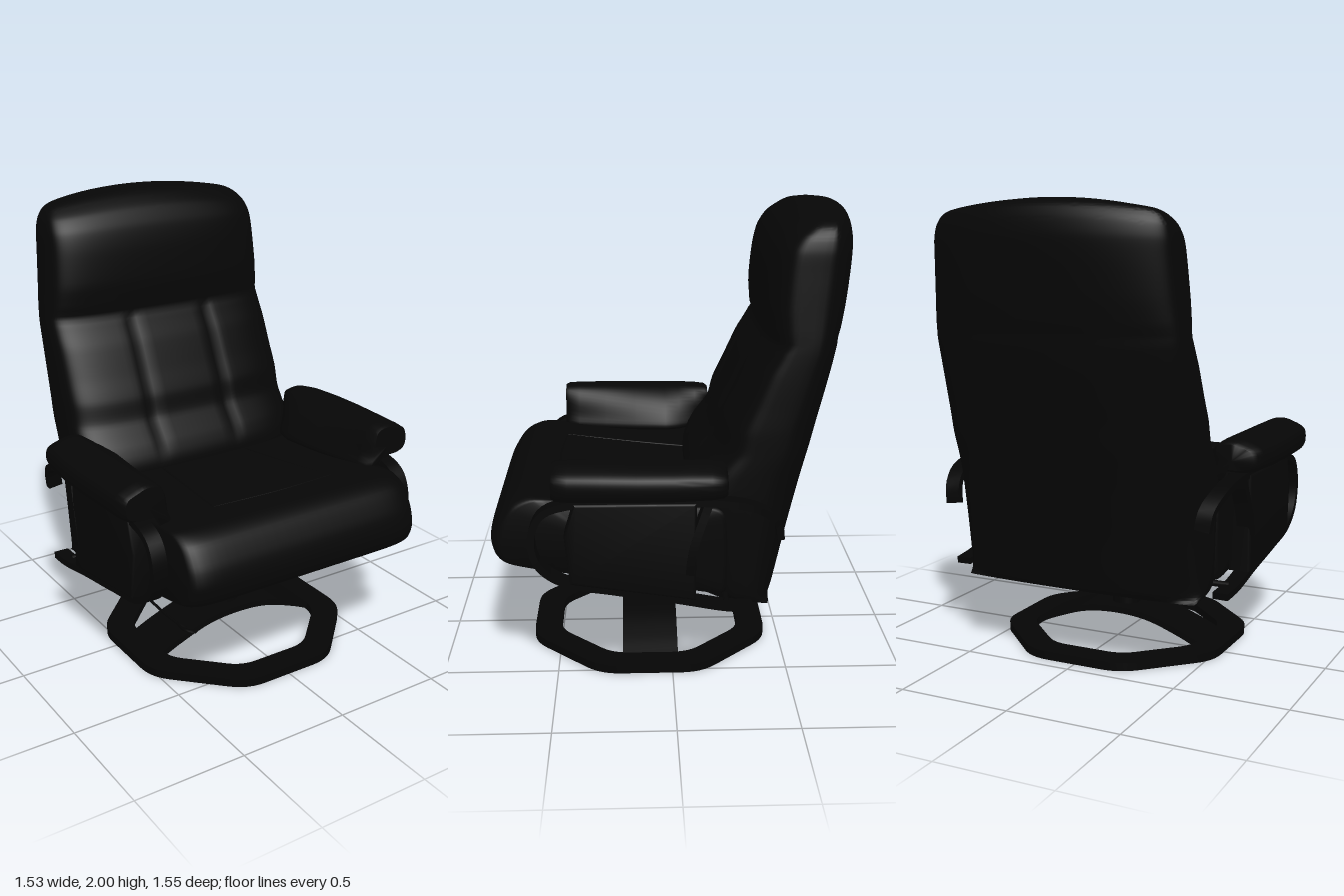
import * as THREE from 'three';
import { toCreasedNormals } from 'three/addons/utils/BufferGeometryUtils.js';

const leather = new THREE.MeshStandardMaterial({ color: 0x060606 });
leather.name = 'black leather';
const lacquer = new THREE.MeshStandardMaterial({ color: 0x050505 });
lacquer.name = 'black lacquer';

const V = (x, y, z) => new THREE.Vector3(x, y, z);

function part(name, geometry, material) {
  const mesh = new THREE.Mesh(geometry, material);
  mesh.name = name;
  return mesh;
}

// Skin closed rings (counter-clockwise seen from the far end) and cap both ends
function loft(rings, crease = 0.7) {
  const n = rings[0].length, pos = [], index = [];
  const centre = (r) => r.reduce((s, p) => s.add(p), V(0, 0, 0)).divideScalar(n);
  rings.flat().forEach((p) => pos.push(p.x, p.y, p.z));
  const last = (rings.length - 1) * n, c0 = rings.length * n, c1 = c0 + 1;
  pos.push(...centre(rings[0]).toArray(), ...centre(rings[rings.length - 1]).toArray());
  for (let j = 0; j < n; j++) {
    const k = (j + 1) % n;
    for (let i = 0; i < last; i += n) index.push(i + j, i + k, i + n + k, i + j, i + n + k, i + n + j);
    index.push(c0, k, j, c1, last + j, last + k);
  }
  const g = new THREE.BufferGeometry();
  g.setAttribute('position', new THREE.Float32BufferAttribute(pos, 3));
  g.setIndex(index);
  return toCreasedNormals(g, crease);
}

// Flat bent strip of given width direction, following a curve
function strap(points, widthDir, width, thick, steps = 40) {
  const curve = new THREE.CatmullRomCurve3(points);
  const rings = [];
  for (let i = 0; i <= steps; i++) {
    const p = curve.getPointAt(i / steps), t = curve.getTangentAt(i / steps);
    const w = widthDir.clone().addScaledVector(t, -widthDir.dot(t)).normalize();
    const n = t.clone().cross(w);
    rings.push([[1, 1], [-1, 1], [-1, -1], [1, -1]].map(([a, b]) =>
      p.clone().addScaledVector(w, a * width / 2).addScaledVector(n, b * thick / 2)));
  }
  return loft(rings);
}

// Tall padded back with headrest fold and stitched panels
function backGeometry() {
  // height, front z, back z, half width
  const levels = [
    [0.335, -0.37, -0.43, 0.55], [0.355, -0.22, -0.47, 0.565], [0.4, -0.14, -0.485, 0.572],
    [0.6, -0.1, -0.53, 0.575], [0.8, -0.07, -0.578, 0.578], [0.9, -0.105, -0.603, 0.578],
    [1.0, -0.18, -0.628, 0.578], [1.1, -0.208, -0.652, 0.577], [1.2, -0.255, -0.677, 0.574],
    [1.33, -0.315, -0.708, 0.571], [1.45, -0.38, -0.732, 0.567], [1.6, -0.375, -0.758, 0.556],
    [1.75, -0.388, -0.774, 0.546], [1.85, -0.41, -0.778, 0.54], [1.92, -0.45, -0.768, 0.526],
    [1.965, -0.505, -0.748, 0.5], [1.99, -0.555, -0.71, 0.46], [2.0, -0.625, -0.625, 0.41]];
  const shape = new THREE.CatmullRomCurve3(levels.map(([y, f, b]) => V(f, y, b)), false, 'catmullrom', 0.4);
  const width = new THREE.CatmullRomCurve3(levels.map(([y, , , w]) => V(w, y, 0)), false, 'catmullrom', 0.4);
  const rings = [], N = 60, M = 102;
  const bump = (d, r) => Math.exp(-((d / r) ** 2));
  for (let i = 0; i <= M; i++) {
    const { x: front, y, z: back } = shape.getPoint(i / M);
    const w = width.getPoint(i / M).x;
    const crown = 0.04 * THREE.MathUtils.smoothstep(y, 1.75, 2);
    const panels = THREE.MathUtils.smoothstep(y, 0.8, 0.95) * (1 - THREE.MathUtils.smoothstep(y, 1.42, 1.47));
    const fold = bump(y - 1.46, 0.02), bow = Math.min(1, (front - back) / 0.25);
    const ring = [];
    for (let j = 0; j < 2 * N; j++) {
      const a = Math.PI * j / N, u = Math.cos(a), isFront = j > N, e = isFront ? 5 : 3.8;
      const v = Math.pow(Math.max(0, 1 - Math.abs(u) ** e), 1 / e) * (isFront ? 1 : -1);
      let inset = bow * (isFront ? 0.025 : 0.065) * u * u + fold * (isFront ? 0.012 : 0.004);
      if (isFront) inset += panels * 0.012 * bump(Math.abs(u * w) - 0.2, 0.025);
      ring.push(V(u * w, y - crown * u * u, (front + back) / 2 + v * ((front - back) / 2 - inset)));
    }
    rings.push(ring);
  }
  return loft(rings, 1);
}

// Seat cushion: side profile swept across, rounded at both ends
function seatGeometry() {
  const profile = new THREE.CatmullRomCurve3([
    [0.72, 0.54], [0.6, 0.512], [0.3, 0.465], [0, 0.418], [-0.2, 0.385], [-0.25, 0.42], [-0.25, 0.72],
    [-0.2, 0.79], [0, 0.8], [0.3, 0.822], [0.5, 0.838], [0.62, 0.842], [0.7, 0.805], [0.755, 0.72],
    [0.775, 0.64], [0.76, 0.575]].map(([z, y]) => V(0, y, z)), true, 'catmullrom', 0.4);
  const pts = profile.getPoints(80).slice(0, 80);
  const rings = [];
  for (let i = 0; i <= 32; i++) {
    const u = -Math.cos(Math.PI * i / 32);
    const s = 0.9 + 0.1 * Math.pow(1 - Math.abs(u) ** 10, 0.5);
    rings.push(pts.map((p) => V(0.583 * u, 0.62 + (p.y - 0.62) * s, 0.2 + (p.z - 0.2) * s)));
  }
  return loft(rings, 0.9);
}

// Draped armrest pad, widening inward toward the back
function padGeometry(s) {
  // z, inner x, outer x, roundness
  const stations = [
    [-0.215, 0.56, 0.73, 0.72], [-0.2, 0.53, 0.745, 0.85], [-0.15, 0.49, 0.755, 0.92],
    [-0.07, 0.44, 0.76, 0.95], [0, 0.425, 0.765, 0.96], [0.15, 0.445, 0.765, 0.98], [0.3, 0.475, 0.757, 1],
    [0.43, 0.5, 0.75, 1], [0.48, 0.515, 0.742, 0.98], [0.497, 0.535, 0.73, 0.88]];
  const rings = stations.map(([z, inner, outer, k]) => {
    const section = [[0.58, 0.852], [outer - 0.05, 0.862], [outer - 0.01, 0.885], [outer, 0.93],
      [outer - 0.01, 0.97], [outer - 0.06, 0.998], [0.63, 1.012], [0.57, 0.998],
      [(inner + 0.57) / 2, 0.95], [inner + 0.015, 0.87], [inner, 0.82], [inner + 0.04, 0.805]];
    const curve = new THREE.CatmullRomCurve3(section.map(([x, y]) =>
      V(s * x, 0.93 + (y - 0.93) * k, z)), true);
    const ring = curve.getPoints(48).slice(0, 48);
    return s > 0 ? ring : ring.reverse();
  });
  return loft(rings, 0.9);
}

// One side: pad, bent frame straps, upholstered panel and slats
function armSide(s) {
  const g = new THREE.Group();
  g.name = s > 0 ? 'leftArm' : 'rightArm';
  const path = (list) => list.map(([x, y, z]) => V(s * x, y, z));
  const across = V(1, 0, 0);
  g.add(part('armPad', padGeometry(s), leather));
  g.add(part('armFrame', strap(path([
    [0.6, 0.665, -0.445], [0.612, 0.74, -0.43], [0.634, 0.805, -0.345], [0.638, 0.835, -0.2], [0.638, 0.84, 0.1],
    [0.638, 0.835, 0.42], [0.638, 0.79, 0.545], [0.638, 0.68, 0.588], [0.638, 0.57, 0.56], [0.638, 0.495, 0.46],
    [0.64, 0.455, 0.25], [0.64, 0.415, 0], [0.64, 0.375, -0.22], [0.635, 0.365, -0.33]]),
  across, 0.068, 0.03, 90), lacquer));

  const panel = new THREE.Shape([[-0.42, 0.5], [0.08, 0.425], [0.08, 0.83], [-0.4, 0.83], [-0.44, 0.7]]
    .map(([x, y]) => new THREE.Vector2(x, y)));
  const panelGeo = new THREE.ExtrudeGeometry(panel, {
    depth: 0.084, bevelEnabled: true, bevelSize: 0.012, bevelThickness: 0.014, bevelSegments: 3 });
  panelGeo.rotateY(Math.PI / 2).translate(s * 0.624 - 0.042, 0, 0);
  g.add(part('sidePanel', toCreasedNormals(panelGeo, 0.7), leather));

  g.add(part('sideSlat', strap(path([[0.637, 0.41, -0.06], [0.65, 0.62, -0.075], [0.637, 0.83, -0.14]]),
    across, 0.068, 0.035, 16), lacquer));
  const pivot = new THREE.CylinderGeometry(0.014, 0.014, 0.09, 12).rotateZ(Math.PI / 2);
  g.add(part('pivotBolt', pivot.translate(s * 0.59, 0.385, -0.22), lacquer));
  return g;
}

function octagon(flat, Type) {
  const corners = [...Array(8)].map((_, i) => {
    const a = (i + 0.5) * Math.PI / 4, r = flat / Math.cos(Math.PI / 8);
    return new THREE.Vector2(r * Math.cos(a), r * Math.sin(a));
  });
  const shape = new Type();
  corners.forEach((c, i) => {
    const p = c.clone().lerp(corners[(i + 7) % 8], 0.2), q = c.clone().lerp(corners[(i + 1) % 8], 0.2);
    i ? shape.lineTo(p.x, p.y) : shape.moveTo(p.x, p.y);
    shape.quadraticCurveTo(c.x, c.y, q.x, q.y);
  });
  shape.closePath();
  return shape;
}

// Octagonal floor ring, arched bridge, column and crossed carrier straps
function swivelBase() {
  const g = new THREE.Group();
  g.name = 'swivelBase';
  g.position.z = 0.095;
  const ring = octagon(0.532, THREE.Shape);
  ring.holes.push(octagon(0.41, THREE.Path));
  const ringGeo = new THREE.ExtrudeGeometry(ring, { depth: 0.037, bevelEnabled: false, curveSegments: 6 });
  ringGeo.rotateX(-Math.PI / 2);
  g.add(part('floorRing', toCreasedNormals(ringGeo, 0.6), lacquer));
  g.add(part('bridge', strap([V(-0.42, 0.018, 0), V(-0.32, 0.062, 0), V(-0.16, 0.115, 0), V(0, 0.13, 0),
    V(0.16, 0.115, 0), V(0.32, 0.062, 0), V(0.42, 0.018, 0)], V(0, 0, 1), 0.245, 0.028), lacquer));
  const column = new THREE.CylinderGeometry(0.065, 0.065, 0.13, 32).translate(0, 0.187, 0);
  g.add(part('column', column, lacquer));
  const post = new THREE.BoxGeometry(0.075, 0.19, 0.036).translate(0, 0.345, 0);
  g.add(part('columnPost', post, lacquer));
  for (const s of [1, -1]) {
    const pts = [[0.4, 0.47, 0.43], [0.34, 0.42, 0.32], [0.2, 0.31, 0.17], [0.06, 0.262, 0.04],
      [-0.06, 0.262, -0.04], [-0.22, 0.31, -0.15], [-0.4, 0.37, -0.26]].map(([x, y, z]) => V(s * x, y, z));
    g.add(part('carrierStrap', strap(pts, V(0.6, 0, -s), 0.05, 0.018), lacquer));
  }
  return g;
}

export function createModel() {
  const model = new THREE.Group();
  model.name = 'reclinerChair';
  model.add(part('backrest', backGeometry(), leather));
  model.add(part('seatCushion', seatGeometry(), leather));

  // Stitched seams on the seat
  const seams = [1, -1].map((s) => [V(s * 0.22, 0.795, -0.12), V(s * 0.26, 0.811, 0.16), V(s * 0.31, 0.834, 0.48)]);
  seams.push([V(-0.31, 0.834, 0.48), V(0, 0.836, 0.495), V(0.31, 0.834, 0.48)]);
  for (const pts of seams) {
    const curve = new THREE.CatmullRomCurve3(pts);
    model.add(part('seatSeam', new THREE.TubeGeometry(curve, 20, 0.004, 6), leather));
  }

  model.add(armSide(1), armSide(-1), swivelBase());

  // Wire release handle under the right side
  const wire = new THREE.CatmullRomCurve3([[0, 0.388, 0.1], [-0.03, 0.388, 0.35], [-0.03, 0.388, 0.55],
    [-0.015, 0.386, 0.6], [-0.005, 0.394, 0.65], [-0.03, 0.408, 0.675], [-0.055, 0.414, 0.65],
    [-0.045, 0.398, 0.6], [-0.032, 0.39, 0.55]].map(([x, y, z]) => V(x - 0.5, y, z)));
  model.add(part('releaseHandle', new THREE.TubeGeometry(wire, 60, 0.006, 6), lacquer));
  const rod = new THREE.CylinderGeometry(0.008, 0.008, 0.5, 8).rotateZ(Math.PI / 2).translate(-0.25, 0.39, 0.1);
  model.add(part('releaseRod', rod, lacquer));
  return model;
}
